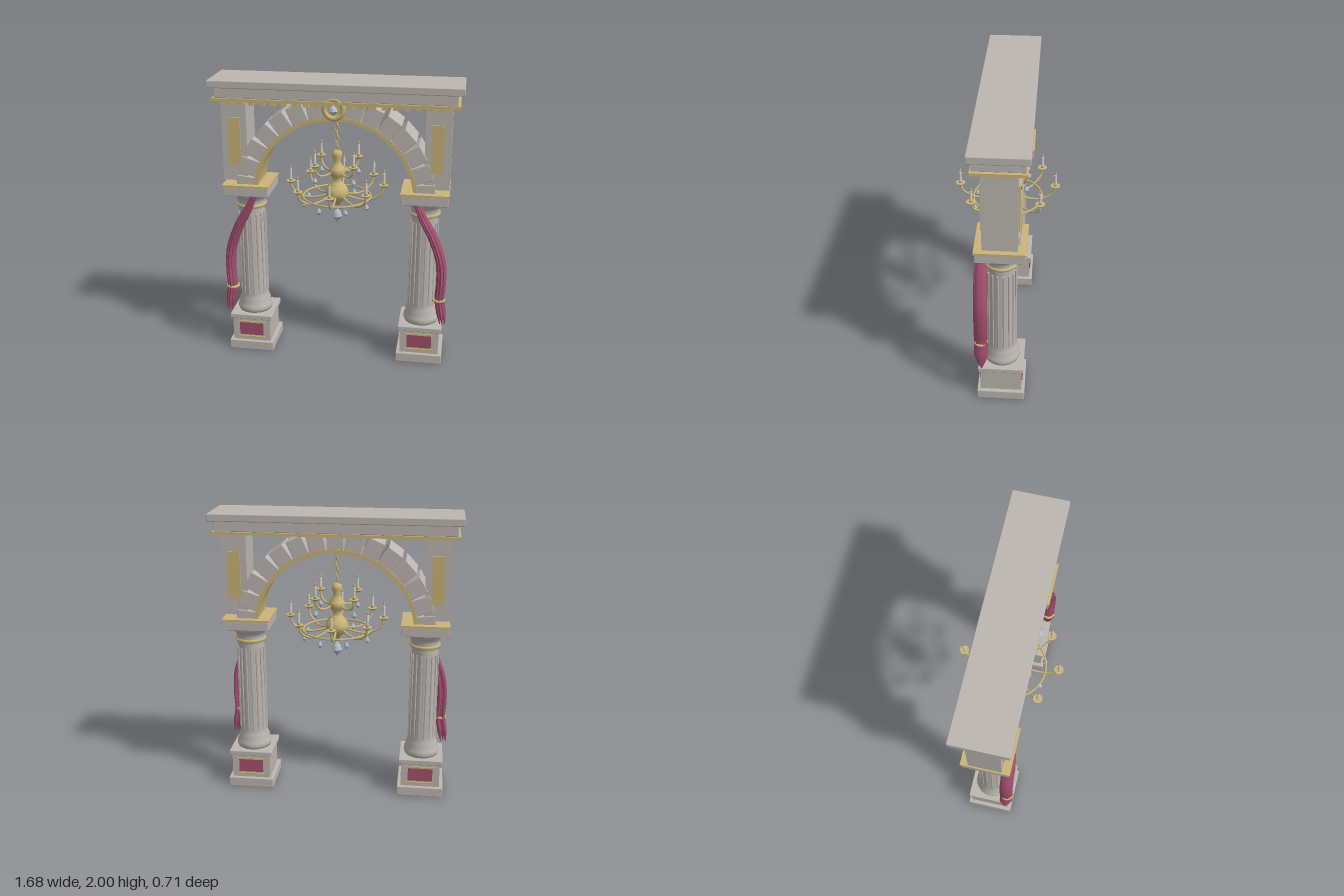
import * as THREE from 'three';
import { RoundedBoxGeometry } from 'three/addons/geometries/RoundedBoxGeometry.js';

const mat = (name, color, side = THREE.FrontSide) => {
  const m = new THREE.MeshStandardMaterial({ color, side });
  m.name = name;
  return m;
};

export function createModel() {
  const stone = mat('stone', 0xbcb6b1);
  const gold = mat('gold', 0xc9b478);
  const crimson = mat('crimson', 0xa34f6d, THREE.DoubleSide);
  const crystal = mat('crystal', 0xaebfce);
  const wax = mat('wax', 0xd6d3cd);
  const root = new THREE.Group();
  root.name = 'archway';

  const group = (name, parent = root) => {
    const g = new THREE.Group();
    g.name = name;
    parent.add(g);
    return g;
  };
  const add = (parent, name, geo, material, x = 0, y = 0, z = 0) => {
    const m = new THREE.Mesh(geo, material);
    m.name = name;
    m.position.set(x, y, z);
    parent.add(m);
    return m;
  };
  // Box given by its bottom and top heights; stone blocks have eased edges
  const slab = (parent, name, material, w, y0, y1, d, x = 0, z = 0, r = 0) => {
    const geo = r ? new RoundedBoxGeometry(w, y1 - y0, d, 2, r) : new THREE.BoxGeometry(w, y1 - y0, d);
    return add(parent, name, geo, material, x, (y0 + y1) / 2, z);
  };
  const lathe = (pts, seg) => new THREE.LatheGeometry(pts.map(p => new THREE.Vector2(p[0], p[1])), seg);
  const vec = p => new THREE.Vector3(p[0], p[1], p[2]);
  const ring = (R, r, a = 8, b = 32) => new THREE.TorusGeometry(R, r, a, b).rotateX(Math.PI / 2);
  // Faceted drop, flatShaded by its non-indexed faces
  const dropGeo = (r, h) => {
    const g = lathe([[0, -0.5 * h], [r, -0.08 * h], [r * 0.75, 0.16 * h], [0, 0.5 * h]], 8).toNonIndexed();
    g.computeVertexNormals();
    return g;
  };

  // Entablature
  const top = group('entablature');
  slab(top, 'cornice', stone, 1.68, 1.95, 2, 0.37, 0, 0, 0.006);
  slab(top, 'frieze', stone, 1.6, 1.88, 1.95, 0.315, 0, 0, 0.004);
  slab(top, 'goldFillet', gold, 1.635, 1.86, 1.88, 0.335);
  for (let i = 0; i < 20; i++) {
    slab(top, 'dentil', gold, 0.036, 1.835, 1.86, 0.03, -0.7 + (1.4 * i) / 19, 0.135);
  }

  // Arch: separate radial blocks over a gold lining
  const arch = group('arch');
  const archY = 1.21;
  for (let i = 0; i < 15; i++) {
    const a = THREE.MathUtils.degToRad(6 + 12 * i);
    const s = add(arch, 'archStone', new RoundedBoxGeometry(0.125, 0.114, 0.24, 1, 0.004), stone,
      Math.cos(a) * 0.62, archY + Math.sin(a) * 0.62, 0);
    s.rotation.z = a;
  }
  const band = new THREE.Shape();
  band.absarc(0, 0, 0.562, 0, Math.PI, false);
  band.absarc(0, 0, 0.535, Math.PI, 0, true);
  add(arch, 'archLining', new THREE.ExtrudeGeometry(band, { depth: 0.25, bevelEnabled: false, curveSegments: 40 }),
    gold, 0, archY, -0.125);

  // Medallion on the keystone
  const med = group('medallion');
  add(med, 'medallionDisc', new THREE.CylinderGeometry(0.072, 0.072, 0.035, 32).rotateX(Math.PI / 2), gold, 0, 1.83, 0.13);
  add(med, 'medallionRim', new THREE.TorusGeometry(0.062, 0.018, 10, 32), gold, 0, 1.83, 0.145);
  add(med, 'medallionJewel', dropGeo(0.032, 0.075), crystal, 0, 1.83, 0.17);

  // Piers, columns, pedestals and curtains on each side
  for (const s of [-1, 1]) {
    const side = group(s > 0 ? 'leftSupport' : 'rightSupport');
    const cx = 0.612 * s;
    slab(side, 'pier', stone, 0.172, 1.3, 1.86, 0.22, 0.685 * s);
    slab(side, 'impostPlate', gold, 0.326, 1.262, 1.276, 0.33, cx);
    slab(side, 'abacus', stone, 0.316, 1.198, 1.262, 0.316, cx, 0, 0.004);
    slab(side, 'plinth', stone, 0.326, 0, 0.07, 0.326, cx, 0, 0.006);
    slab(side, 'pedestal', stone, 0.274, 0.07, 0.245, 0.28, cx);
    slab(side, 'pedestalCap', stone, 0.308, 0.245, 0.28, 0.308, cx, 0, 0.005);
    for (const f of [-1, 1]) {
      slab(side, 'pierPanel', gold, 0.084, 1.415, 1.74, 0.018, 0.683 * s, 0.111 * f);
      slab(side, 'pedestalPanel', crimson, 0.174, 0.115, 0.212, 0.009, cx, 0.1425 * f);
      slab(side, 'panelRailTop', gold, 0.2, 0.212, 0.224, 0.009, cx, 0.1425 * f);
      slab(side, 'panelRailBottom', gold, 0.2, 0.091, 0.103, 0.009, cx, 0.1425 * f);
    }
    add(side, 'column', lathe([[0, 0.28], [0.118, 0.28], [0.125, 0.3], [0.122, 0.325], [0.11, 0.34], [0.113, 0.36],
      [0.101, 0.385], [0.097, 0.42], [0.095, 0.7], [0.09, 1.07], [0.1, 1.085], [0.1, 1.11], [0.096, 1.13],
      [0.108, 1.155], [0.136, 1.185], [0.136, 1.2], [0, 1.2]], 40), stone, cx);
    add(side, 'columnRing', ring(0.096, 0.013), gold, cx, 1.1, 0);
    // Raised reeds around the shaft
    for (let i = 0; i < 16; i++) {
      const a = ((i + 0.5) / 16) * Math.PI * 2;
      add(side, 'reed', new THREE.CylinderGeometry(0.007, 0.007, 0.62, 6), stone,
        cx + Math.cos(a) * 0.095, 0.73, Math.sin(a) * 0.095);
    }

    // Curtain: three tapered folds gathered by a tie
    const curtain = group('curtain', side);
    for (const k of [-1, 0, 1]) {
      const o = 0.018 * k;
      const path = new THREE.CatmullRomCurve3([[0.56 + o * 0.7, 1.195], [0.61 + o, 1.09], [0.675 + o, 0.97],
        [0.735 + o, 0.8], [0.748 + o, 0.65], [0.742 + o, 0.505], [0.757 + o, 0.41], [0.77 + o, 0.31]]
        .map(p => vec([p[0] * s, p[1], 0.132 + 0.006 * (k === 0 ? 1 : -1)])));
      const n = 40, radial = 10;
      const geo = new THREE.TubeGeometry(path, n, 0.017, radial);
      const pos = geo.attributes.position;
      for (let i = 0; i <= n; i++) {
        const t = i / n, c = path.getPointAt(t);
        const end = Math.min(1, 0.45 + t * 2.5, 0.15 + (1 - t) * 9);
        for (let j = 0; j <= radial; j++) {
          const q = i * (radial + 1) + j;
          pos.setXYZ(q, c.x + (pos.getX(q) - c.x) * end, c.y + (pos.getY(q) - c.y) * end,
            c.z + (pos.getZ(q) - c.z) * end * 2.3);
        }
      }
      geo.computeVertexNormals();
      add(curtain, 'curtainFold', geo, crimson);
    }
    add(curtain, 'curtainTie', ring(0.038, 0.01), gold, 0.737 * s, 0.505, 0.132);
  }

  // Chandelier
  const lamp = group('chandelier');
  for (let i = 0; i < 7; i++) {
    const link = add(lamp, 'chainLink', new THREE.TorusGeometry(0.013, 0.004, 6, 14), gold, 0, 1.735 - i * 0.036, 0);
    link.scale.y = 1.6;
    link.rotation.y = (i % 2) * Math.PI / 2;
  }
  add(lamp, 'lampBody', lathe([[0, 1.115], [0.018, 1.12], [0.026, 1.135], [0.045, 1.15], [0.075, 1.185], [0.08, 1.215],
    [0.068, 1.25], [0.035, 1.285], [0.027, 1.31], [0.045, 1.335], [0.058, 1.36], [0.052, 1.385], [0.033, 1.41],
    [0.024, 1.44], [0.036, 1.475], [0.034, 1.5], [0.018, 1.512], [0, 1.514]], 24), gold);
  add(lamp, 'lampPendant', dropGeo(0.037, 0.115), crystal, 0, 1.045, 0);
  add(lamp, 'lampRing', ring(0.235, 0.007, 8, 48), gold, 0, 1.185, 0);

  const drop = (parent, r, y, a = 0) => {
    add(parent, 'dropHook', new THREE.CylinderGeometry(0.002, 0.002, 0.03, 5), gold, Math.cos(a) * r, y + 0.035, Math.sin(a) * r);
    add(parent, 'crystalDrop', dropGeo(0.017, 0.056), crystal, Math.cos(a) * r, y, Math.sin(a) * r);
  };
  // An arm along +x with pan, candle and flame, turned about the y axis
  const arm = (angle, pts, r, y) => {
    const g = group('lampArm', lamp);
    g.rotation.y = angle;
    const path = new THREE.CatmullRomCurve3(pts.map(p => vec([p[0], p[1], 0])));
    add(g, 'armTube', new THREE.TubeGeometry(path, 20, 0.0075, 8), gold);
    add(g, 'dripPan', lathe([[0, -0.012], [0.014, -0.01], [0.032, 0.004], [0.032, 0.009], [0, 0.006]], 18), gold, r, y, 0);
    add(g, 'candleSocket', new THREE.CylinderGeometry(0.014, 0.011, 0.018, 12), gold, r, y + 0.013, 0);
    add(g, 'candle', new THREE.CylinderGeometry(0.009, 0.009, 0.08, 12), wax, r, y + 0.05, 0);
    add(g, 'flame', lathe([[0, 0], [0.008, 0.009], [0.006, 0.02], [0, 0.036]], 10), gold, r, y + 0.088, 0);
    return g;
  };
  for (let i = 0; i < 8; i++) {
    const a = (i / 8) * Math.PI * 2;
    arm(a, [[0.05, 1.2], [0.12, 1.175], [0.2, 1.165], [0.265, 1.185], [0.31, 1.22], [0.324, 1.268]], 0.324, 1.272);
    drop(lamp, 0.235, 1.142, a + Math.PI / 8);
  }
  for (let i = 0; i < 4; i++) {
    const g = arm(((i + 0.5) / 4) * Math.PI * 2,
      [[0.035, 1.365], [0.09, 1.35], [0.14, 1.355], [0.175, 1.385], [0.185, 1.425]], 0.185, 1.43);
    add(g, 'armScroll', new THREE.CylinderGeometry(0.002, 0.002, 0.07, 5), gold, 0.185, 1.385, 0);
    drop(g, 0.185, 1.328);
  }
  return root;
}
